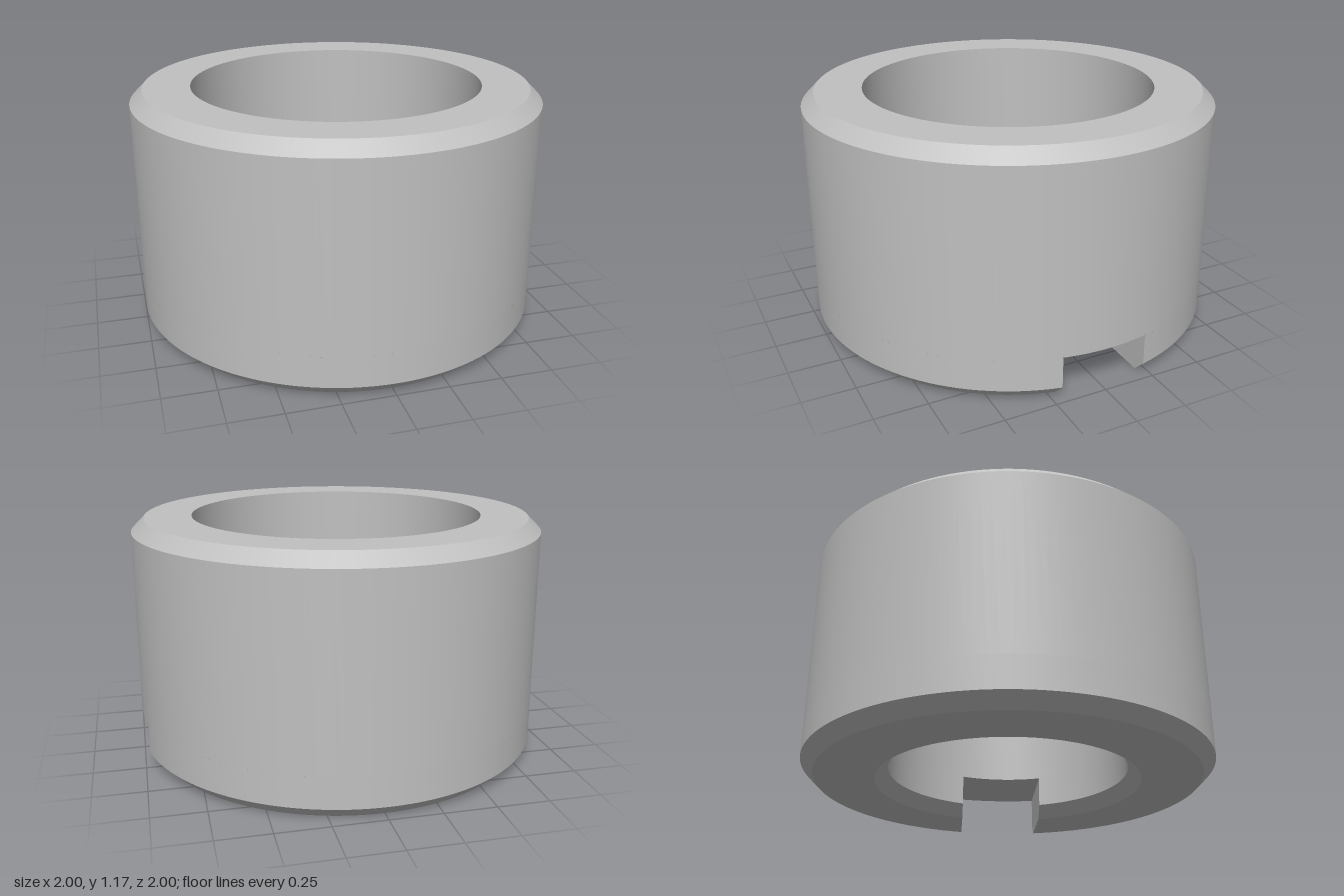
import * as THREE from 'three';
import { toCreasedNormals } from 'three/addons/utils/BufferGeometryUtils.js';

const SEGMENTS = 128;
const SLOT = 0.21; // half width of the slot
const SLOT_TOP = 0.215;
const BORE = 0.585;

const points = (list) => list.map(([r, y]) => new THREE.Vector2(r, y));

export function createModel() {
  const group = new THREE.Group();
  const metal = new THREE.MeshStandardMaterial({ color: 0xc0c0c0 });
  metal.name = 'grey metal';

  const add = (name, geometry) => {
    const mesh = new THREE.Mesh(geometry, metal);
    mesh.name = name;
    group.add(mesh);
    return mesh;
  };

  // Full ring above the slot: outer wall, top chamfer, counterbore, bore
  const upper = points([
    [1, SLOT_TOP], [1, 1.108], [0.938, 1.17], [0.71, 1.17],
    [0.71, 0.59], [0.625, 0.59], [BORE, 0.55], [BORE, SLOT_TOP],
  ]);
  add('upperRing', toCreasedNormals(new THREE.LatheGeometry(upper, SEGMENTS), 0.4));

  // Lower ring: each circle stops where it meets the parallel slot walls
  const lower = points([
    [BORE, SLOT_TOP], [BORE, 0.062], [0.647, 0], [0.938, 0], [1, 0.062], [1, SLOT_TOP],
  ]);
  const lowerGeometry = new THREE.LatheGeometry(lower, SEGMENTS);
  const position = lowerGeometry.attributes.position;
  for (let i = 0; i <= SEGMENTS; i++) {
    lower.forEach((p, j) => {
      const gap = Math.asin(SLOT / p.x);
      const angle = Math.PI / 2 + gap + (i / SEGMENTS) * 2 * (Math.PI - gap);
      position.setXYZ(i * lower.length + j, p.x * Math.sin(angle), p.y, p.x * Math.cos(angle));
    });
  }
  add('lowerRing', toCreasedNormals(lowerGeometry, 0.4));

  // Slot side walls, facing each other
  for (const side of [-1, 1]) {
    const outline = lower.map((p) => new THREE.Vector2(-side * Math.sqrt(p.x * p.x - SLOT * SLOT), p.y));
    const wall = add('slotWall', new THREE.ShapeGeometry(new THREE.Shape(outline)));
    wall.position.z = side * SLOT;
    if (side > 0) wall.rotation.y = Math.PI;
  }

  // Slot ceiling, bounded by the bore and the outer wall
  const outer = Math.asin(SLOT);
  const inner = Math.asin(SLOT / BORE);
  const ceiling = new THREE.Shape();
  ceiling.absarc(0, 0, 1, -outer, outer, false);
  ceiling.absarc(0, 0, BORE, inner, -inner, true);
  const ceilingMesh = add('slotCeiling', new THREE.ShapeGeometry(ceiling, 24).rotateX(Math.PI / 2));
  ceilingMesh.position.y = SLOT_TOP;

  return group;
}
